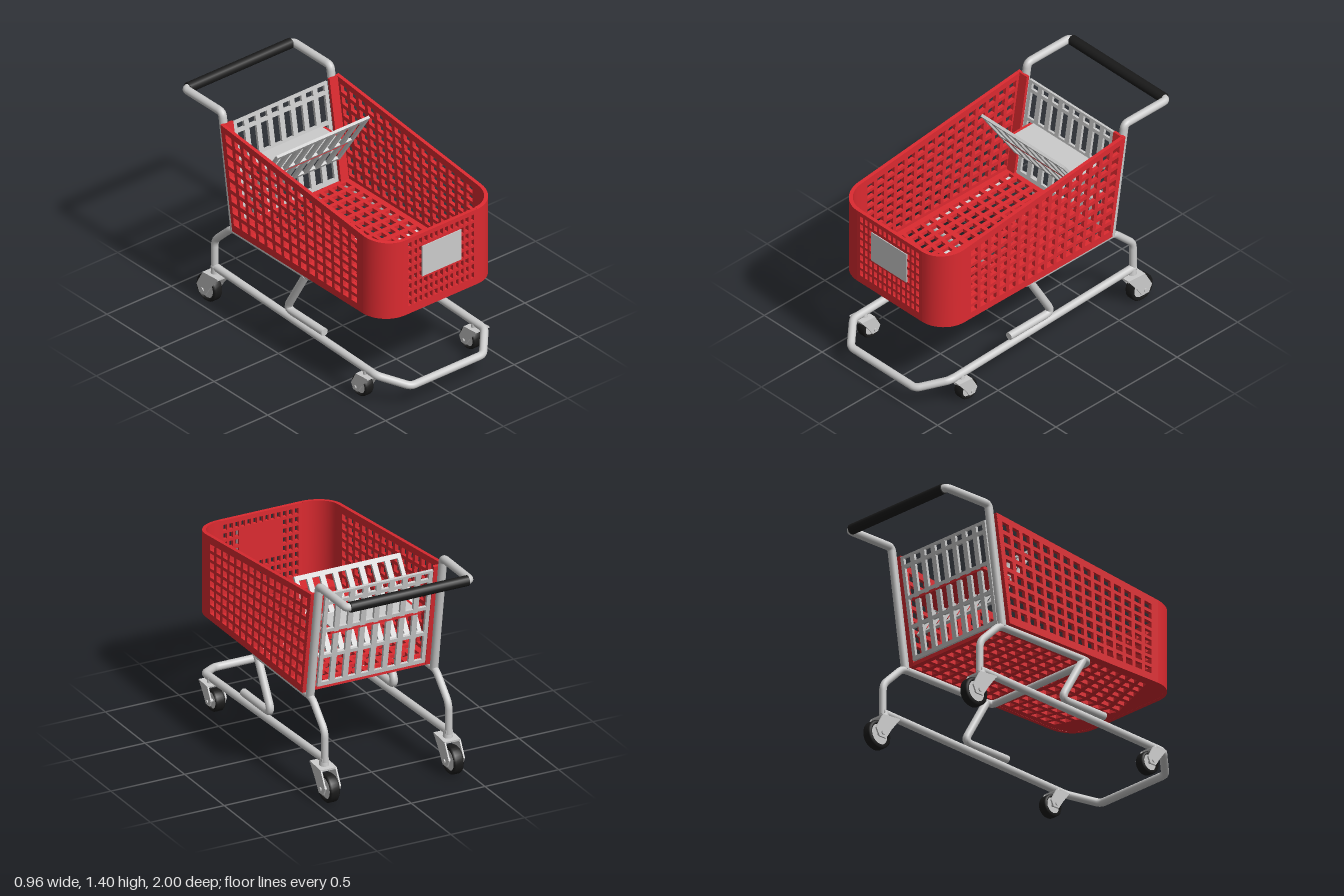
import * as THREE from 'three';
import { mergeGeometries } from 'three/addons/utils/BufferGeometryUtils.js';

const mat = (color) => new THREE.MeshStandardMaterial({ color });
const V = (x, y, z) => new THREE.Vector3(x, y, z);
const mirrorPath = (pts) => [...pts, ...pts.map((p) => V(-p.x, p.y, p.z)).reverse()];
const topY = (z) => 1.14 + (0.92 - z) * 0.1126; // sloping basket rim

export function createModel() {
  const cart = new THREE.Group();
  cart.name = 'shoppingCart';
  const grey = mat(0xcccccc), red = mat(0xdc2a30), black = mat(0x1a1a1a);

  function add(name, geometry, material, parent = cart) {
    const mesh = new THREE.Mesh(geometry, material);
    mesh.name = name;
    parent.add(mesh);
    return mesh;
  }

  // Capped pipe through points, with rounded bends
  function pipe(name, pts, r, bend = 0.05) {
    const parts = [];
    let start = pts[0];
    for (let i = 1; i < pts.length - 1; i++) {
      const toward = (q) => pts[i].clone().add(q.clone().sub(pts[i]).setLength(bend));
      const a = toward(pts[i - 1]), b = toward(pts[i + 1]);
      parts.push(new THREE.LineCurve3(start, a), new THREE.QuadraticBezierCurve3(a, pts[i], b));
      start = b;
    }
    parts.push(new THREE.LineCurve3(start, pts[pts.length - 1]));
    const path = new THREE.Curve();
    const at = (t, method) => {
      const i = Math.min(Math.floor(t * parts.length + 1e-9), parts.length - 1);
      return parts[i][method](Math.max(0, t * parts.length - i));
    };
    path.getPoint = path.getPointAt = (t) => at(t, 'getPoint');
    path.getTangent = path.getTangentAt = (t) => at(t, 'getTangent');
    const geos = [new THREE.TubeGeometry(path, parts.length * 5, r, 14)];
    for (const t of [0, 1]) {
      const dir = path.getTangentAt(t).multiplyScalar(t ? 1 : -1);
      const cap = new THREE.CircleGeometry(r, 14);
      cap.applyQuaternion(new THREE.Quaternion().setFromUnitVectors(V(0, 0, 1), dir));
      const p = path.getPointAt(t);
      geos.push(cap.translate(p.x, p.y, p.z));
    }
    return add(name, mergeGeometries(geos), grey);
  }

  // Grid of holes inside the quad a, b, c, d (anticlockwise from lower left)
  function holeGrid([a, b, c, d], nu, nv, fu, fv, skip = () => false) {
    const at = (u, v) => [0, 1].map((k) =>
      (a[k] * (1 - u) + b[k] * u) * (1 - v) + (d[k] * (1 - u) + c[k] * u) * v);
    const holes = [];
    for (let i = 0; i < nu; i++) for (let j = 0; j < nv; j++) {
      const u0 = (i + 0.5 - fu / 2) / nu, u1 = u0 + fu / nu;
      const v0 = (j + 0.5 - fv / 2) / nv, v1 = v0 + fv / nv;
      if (!skip(...at((u0 + u1) / 2, (v0 + v1) / 2)))
        holes.push([at(u0, v0), at(u1, v0), at(u1, v1), at(u0, v1)]);
    }
    return holes;
  }
  const points = (list) => list.map((p) => new THREE.Vector2(...p));
  function panel(outline, holes, depth) {
    const shape = Array.isArray(outline) ? new THREE.Shape(points(outline)) : outline;
    shape.holes = holes.map((h) => new THREE.Path(points(h)));
    return new THREE.ExtrudeGeometry(shape, { depth, bevelEnabled: false, curveSegments: 12 });
  }
  const rect = (x0, y0, x1, y1) => [[x0, y0], [x1, y0], [x1, y1], [x0, y1]];

  // Basket sides, drawn with -z along the shape's x axis
  const T = 0.024;
  const side = panel(
    [[-0.74, 0.615], [0.48, 0.615], [0.59, topY(-0.59)], [-0.74, topY(0.74)]],
    holeGrid([[-0.7, 0.65], [0.475, 0.65], [0.56, 1.28], [-0.7, 1.125]], 15, 8, 0.66, 0.66), T);
  side.rotateY(Math.PI / 2);
  for (const s of [1, -1]) {
    const end = s > 0 ? 'Left' : 'Right';
    add('basketSide' + end, side, red).position.x = s > 0 ? 0.46 - T : -0.46;

    // Rear flange folded inward
    const flange = add('rearFlange' + end, new THREE.BoxGeometry(0.085, 0.698, 0.02), red);
    flange.position.set(s * 0.4165, 0.963, -0.526);
    flange.rotation.x = -0.158;

    // Rounded front corner, a bent box
    const corner = new THREE.BoxGeometry(1, 1, 1, 12, 1, 1);
    const p = corner.attributes.position;
    for (let i = 0; i < p.count; i++) {
      const a = (0.5 - p.getX(i)) * Math.PI / 2 + (s > 0 ? 0 : Math.PI / 2);
      const r = p.getZ(i) > 0 ? 0.18 : 0.18 - T;
      const z = 0.74 + r * Math.sin(a);
      p.setXYZ(i, s * 0.28 + r * Math.cos(a), p.getY(i) > 0 ? topY(z) : 0.615, z);
    }
    corner.computeVertexNormals();
    add('basketCorner' + end, corner, red);
  }

  // Basket front, solid behind the sign plate
  const front = panel(rect(-0.28, 0.615, 0.28, 1.14),
    holeGrid(rect(-0.262, 0.66, 0.262, 1.12), 13, 8, 0.58, 0.68,
      (x, y) => Math.abs(x) < 0.16 && y > 0.84 && y < 1.05), T);
  add('basketFront', front, red).position.z = 0.92 - T;
  add('signPlate', new THREE.BoxGeometry(0.305, 0.21, 0.008), grey).position.set(0, 0.945, 0.922);

  // Basket floor: straight rows behind, chevron rows in front
  const floor = new THREE.Shape();
  floor.moveTo(-0.45, -0.48);
  floor.lineTo(0.45, -0.48);
  floor.lineTo(0.45, 0.74);
  floor.absarc(0.28, 0.74, 0.17, 0, Math.PI / 2);
  floor.absarc(-0.28, 0.74, 0.17, Math.PI / 2, Math.PI);
  const floorGeo = panel(floor, [
    ...holeGrid(rect(-0.41, -0.46, 0.41, 0.2), 12, 8, 0.62, 0.66),
    ...holeGrid([[0, 0.22], [0.41, 0.2], [0.41, 0.71], [0, 0.87]], 6, 7, 0.62, 0.66),
    ...holeGrid([[-0.41, 0.2], [0, 0.22], [0, 0.87], [-0.41, 0.71]], 6, 7, 0.62, 0.66),
  ], T);
  add('basketFloor', floorGeo.rotateX(Math.PI / 2), red).position.y = 0.64;

  // Rear gate and child seat back: slatted, leaning panels
  function slats(name, w, [y0, z0], [y1, z1], rows) {
    const dy = y1 - y0, dz = z1 - z0, len = Math.hypot(dy, dz);
    const holes = rows.flatMap(([a, b]) =>
      holeGrid(rect(-w + 0.008, a * len, w - 0.008, b * len), 8, 1, 0.6, 1));
    const mesh = add(name, panel(rect(-w, 0, w, len), holes, 0.018), grey);
    mesh.position.set(0, y0, z0);
    mesh.rotation.x = Math.atan2(dz, dy);
  }
  slats('rearGate', 0.365, [0.64, -0.495], [1.29, -0.6],
    [[0.04, 0.3], [0.335, 0.58], [0.615, 0.88], [0.915, 0.975]]);
  slats('childSeatBack', 0.36, [0.82, -0.47], [1.24, -0.19],
    [[0.05, 0.45], [0.5, 0.94]]);
  add('childSeat', new THREE.BoxGeometry(0.62, 0.02, 0.23), red).position.set(0, 1.01, -0.44);
  add('childSeatPad', new THREE.BoxGeometry(0.57, 0.01, 0.2), grey).position.set(0, 1.023, -0.44);

  // Tubular frame
  pipe('handleFrame', mirrorPath([
    V(0.42, 0.595, -0.505), V(0.42, 1.367, -0.62), V(0.42, 1.367, -0.967)]), 0.026, 0.03);
  pipe('upperFrame', mirrorPath([
    V(0.42, 0.24, -0.69), V(0.42, 0.44, -0.69), V(0.42, 0.595, -0.53), V(0.42, 0.595, 0.21)]), 0.023, 0.04);
  pipe('lowerFrame', mirrorPath([
    V(0.42, 0.255, -0.7), V(0.42, 0.2, 0.82), V(0.28, 0.145, 0.973)]), 0.025, 0.03);
  for (const s of [1, -1]) {
    pipe(s > 0 ? 'braceLeft' : 'braceRight', [V(s * 0.42, 0.59, 0.16), V(s * 0.42, 0.28, -0.02),
      V(s * 0.42, 0.275, 0.335)], 0.025, 0.06);
  }
  const grip = add('handleGrip', new THREE.CylinderGeometry(0.033, 0.033, 0.8, 16), black);
  grip.rotation.z = Math.PI / 2;
  grip.position.set(0, 1.367, -0.967);

  // Casters, built around the wheel centre at rear-wheel size
  const tyreGeo = new THREE.LatheGeometry(points([[0.066, -0.028], [0.08, -0.033], [0.09, -0.022],
    [0.09, 0.022], [0.08, 0.033], [0.066, 0.028], [0.066, -0.028]]), 28).rotateZ(Math.PI / 2);
  const hubGeo = new THREE.CylinderGeometry(0.067, 0.067, 0.04, 28).rotateZ(Math.PI / 2);
  const axleGeo = new THREE.CylinderGeometry(0.014, 0.014, 0.125, 12).rotateZ(Math.PI / 2);
  const forkGeo = panel([[-0.14, 0.13], [0, 0.12], [0.055, 0.02], [0.03, -0.03],
    [-0.025, -0.03], [-0.07, 0.04]], [], 0.01).rotateY(Math.PI / 2);
  function caster(name, x, y, z, scale, stem) {
    const g = new THREE.Group();
    g.name = name;
    add('tyre', tyreGeo, black, g);
    add('hub', hubGeo, grey, g);
    add('axle', axleGeo, grey, g);
    for (const s of [1, -1]) add('forkPlate', forkGeo, grey, g).position.x = s * 0.05 - 0.005;
    const crown = add('forkCrown', new THREE.BoxGeometry(0.11, 0.012, 0.14), grey, g);
    crown.position.set(0, 0.122, 0.07);
    crown.rotation.x = -0.07;
    add('swivel', new THREE.CylinderGeometry(0.026, 0.032, stem, 14), grey, g)
      .position.set(0, 0.12 + stem / 2, 0.06);
    g.position.set(x, y, z);
    g.scale.set(1, scale, scale);
    cart.add(g);
  }
  for (const s of [1, -1]) {
    const end = s > 0 ? 'Left' : 'Right';
    caster('rearCaster' + end, s * 0.42, 0.09, -0.74, 1, 0.05);
    caster('frontCaster' + end, s * 0.42, 0.08, 0.69, 0.78, 0.04);
  }
  return cart;
}
